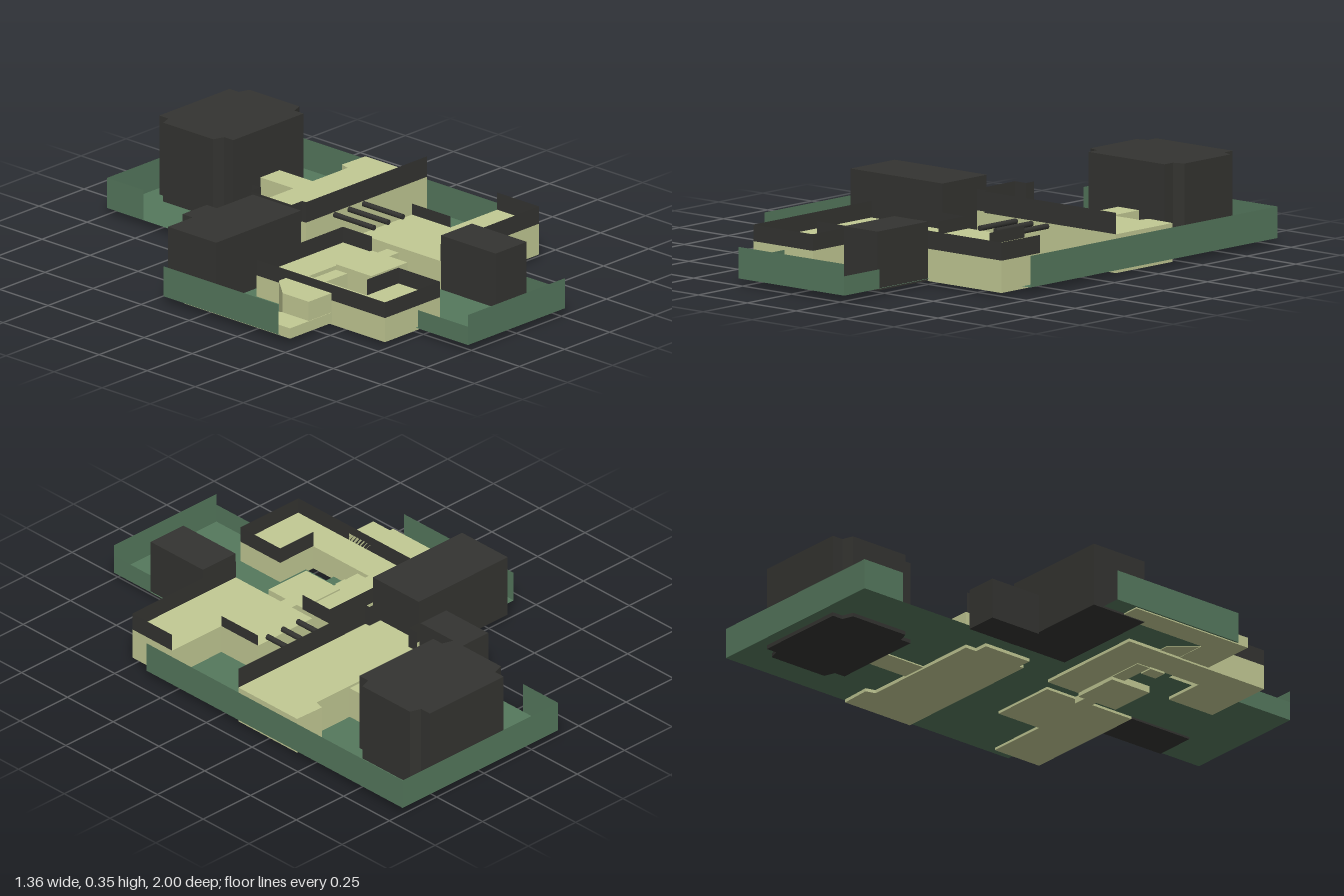
import * as THREE from 'three';

const GREEN = new THREE.MeshStandardMaterial({ color: 0x55785d, side: THREE.DoubleSide });
const TAN = new THREE.MeshStandardMaterial({ color: 0xc2c994 });
const DARK = new THREE.MeshStandardMaterial({ color: 0x343431, side: THREE.DoubleSide });

// Plan outlines are lists of [x, z]
const planShape = (pts) => new THREE.Shape(pts.map(([x, z]) => new THREE.Vector2(x, -z)));

function add(group, name, geometry, material) {
  const mesh = new THREE.Mesh(geometry, material);
  mesh.name = name;
  group.add(mesh);
  return mesh;
}

// Solid with a plan outline between two heights
function slab(group, name, pts, y0, y1, material) {
  const geo = new THREE.ExtrudeGeometry(planShape(pts), { depth: y1 - y0, bevelEnabled: false });
  geo.rotateX(-Math.PI / 2).translate(0, y0, 0);
  return add(group, name, geo, material);
}

function block(group, name, [x0, x1], [y0, y1], [z0, z1], material) {
  const geo = new THREE.BoxGeometry(x1 - x0, y1 - y0, z1 - z0);
  geo.translate((x0 + x1) / 2, (y0 + y1) / 2, (z0 + z1) / 2);
  return add(group, name, geo, material);
}

// Paper-thin upright wall along a plan path
function thinWall(group, name, path, y0, y1, material) {
  for (let i = 0; i + 1 < path.length; i++) {
    const [xa, za] = path[i], [xb, zb] = path[i + 1];
    const geo = new THREE.PlaneGeometry(Math.hypot(xb - xa, zb - za), y1 - y0);
    geo.rotateY(-Math.atan2(zb - za, xb - xa));
    geo.translate((xa + xb) / 2, (y0 + y1) / 2, (za + zb) / 2);
    add(group, name, geo, material);
  }
}

export function createModel() {
  const root = new THREE.Group();
  root.name = 'buildingComplex';

  // Ground tray: one stepped floor with partial rim walls
  const ground = new THREE.Group();
  ground.name = 'groundTray';
  root.add(ground);
  const floor = new THREE.ShapeGeometry(planShape([
    [-0.14, -1], [0.68, -1], [0.68, 0.4], [0.27, 0.4], [0.27, 1],
    [-0.27, 1], [-0.27, 0.4], [-0.68, 0.4], [-0.68, -0.2], [-0.14, -0.2],
  ]));
  floor.rotateX(-Math.PI / 2).translate(0, 0.03, 0);
  add(ground, 'floor', floor, GREEN);
  thinWall(ground, 'rearRim', [[-0.14, -0.81], [-0.14, -1], [0.68, -1], [0.68, 0.4]], 0.03, 0.152, GREEN);
  thinWall(ground, 'sideRim', [[-0.68, -0.2], [-0.68, 0.4]], 0.03, 0.152, GREEN);
  thinWall(ground, 'frontRim', [[-0.27, 1], [0.27, 1]], 0.03, 0.152, GREEN);
  thinWall(ground, 'frontSideRim', [[0.27, 0.8], [0.27, 1]], 0.03, 0.105, GREEN);
  thinWall(ground, 'frontSideRim', [[-0.27, 0.74], [-0.27, 1]], 0.03, 0.105, GREEN);

  // Tall rear tower with stepped corners
  const corner = [[0.24, 0.13], [0.195, 0.145], [0.195, 0.192]];
  const tower = [];
  for (const [sx, sz, flip] of [[1, 1, 0], [-1, 1, 1], [-1, -1, 0], [1, -1, 1]]) {
    const pts = corner.map(([x, z]) => [0.297 + sx * x, -0.762 + sz * z]);
    tower.push(...(flip ? pts.reverse() : pts));
  }
  slab(root, 'rearTower', tower, 0.015, 0.35, DARK);

  // Plain dark blocks
  block(root, 'sideBlock', [-0.6, -0.13], [0.022, 0.277], [-0.25, 0], DARK);
  block(root, 'sideAnnex', [-0.275, -0.14], [0.015, 0.178], [-0.48, -0.25], DARK);
  block(root, 'frontBlock', [0.093, 0.265], [0.022, 0.25], [0.52, 0.805], DARK);

  // Long hall across the middle, with its bay and parapets
  const hall = new THREE.Group();
  hall.name = 'longHall';
  root.add(hall);
  slab(hall, 'hallBody', [
    [0, -0.095], [0.672, -0.095], [0.672, -0.415], [0.545, -0.42], [0.535, -0.38],
    [0, -0.38], [0, -0.33], [-0.058, -0.33], [-0.058, -0.115], [0, -0.115],
  ], 0.017, 0.167, TAN);
  thinWall(hall, 'hallParapet', [
    [0.672, -0.095], [0, -0.095], [0, -0.115], [-0.058, -0.115],
    [-0.058, -0.33], [0, -0.33], [0, -0.375],
  ], 0.167, 0.25, DARK);
  block(root, 'towerPassage', [0.253, 0.36], [0.025, 0.157], [-0.58, -0.38], TAN);

  // Pipes between the long hall and the corner wing
  for (const x of [0.16, 0.24, 0.32]) {
    const pipe = new THREE.CylinderGeometry(0.011, 0.011, 0.22, 8);
    pipe.rotateX(Math.PI / 2).translate(x, 0.155, 0);
    add(root, 'pipe', pipe, DARK);
  }

  // Corner wing at the front
  const wing = new THREE.Group();
  wing.name = 'cornerWing';
  root.add(wing);
  slab(wing, 'wingBody', [
    [0.093, 0.1], [0.38, 0.1], [0.38, 0.3], [0.64, 0.3], [0.64, 0.518], [0.093, 0.518],
  ], 0.02, 0.145, TAN);
  thinWall(wing, 'wingParapet', [[0.64, 0.3], [0.64, 0.518], [0.093, 0.518]], 0.145, 0.215, DARK);
  thinWall(wing, 'wingSideParapet', [[0.38, 0.1], [0.38, 0.3]], 0.145, 0.19, DARK);

  // Hooked hall around a small court
  const court = new THREE.Group();
  court.name = 'courtHall';
  root.add(court);
  slab(court, 'courtBody', [
    [-0.44, 0.06], [0.04, 0.06], [0.04, 0.21], [-0.31, 0.21],
    [-0.31, 0.512], [-0.135, 0.512], [-0.135, 0.728], [-0.44, 0.728],
  ], 0.018, 0.116, TAN);
  thinWall(court, 'courtParapet', [
    [0.04, 0.21], [0.04, 0.06], [-0.44, 0.06], [-0.44, 0.728],
    [-0.135, 0.728], [-0.135, 0.512], [-0.31, 0.512],
  ], 0.116, 0.18, DARK);

  // Link room inside the court, its arm, step and bridge
  slab(root, 'linkRoom', [
    [-0.16, 0.21], [0.04, 0.21], [0.04, 0.24], [0.095, 0.24],
    [0.095, 0.3], [0.04, 0.3], [0.04, 0.395], [-0.16, 0.395],
  ], 0.003, 0.122, TAN);
  block(root, 'linkArm', [-0.31, -0.16], [0.015, 0.1], [0.21, 0.27], TAN);
  block(root, 'linkStep', [-0.315, -0.26], [0.01, 0.045], [0.27, 0.34], TAN);

  // Low side terrace with a raised chamfered end
  slab(root, 'sideTerrace', [
    [-0.673, -0.1], [-0.57, -0.1], [-0.57, 0.31], [-0.44, 0.31], [-0.44, 0.452], [-0.673, 0.452],
  ], 0.025, 0.067, TAN);
  slab(root, 'terraceRoom', [
    [-0.567, 0.315], [-0.48, 0.213], [-0.44, 0.213], [-0.44, 0.45], [-0.567, 0.45],
  ], 0.027, 0.145, TAN);

  return root;
}
